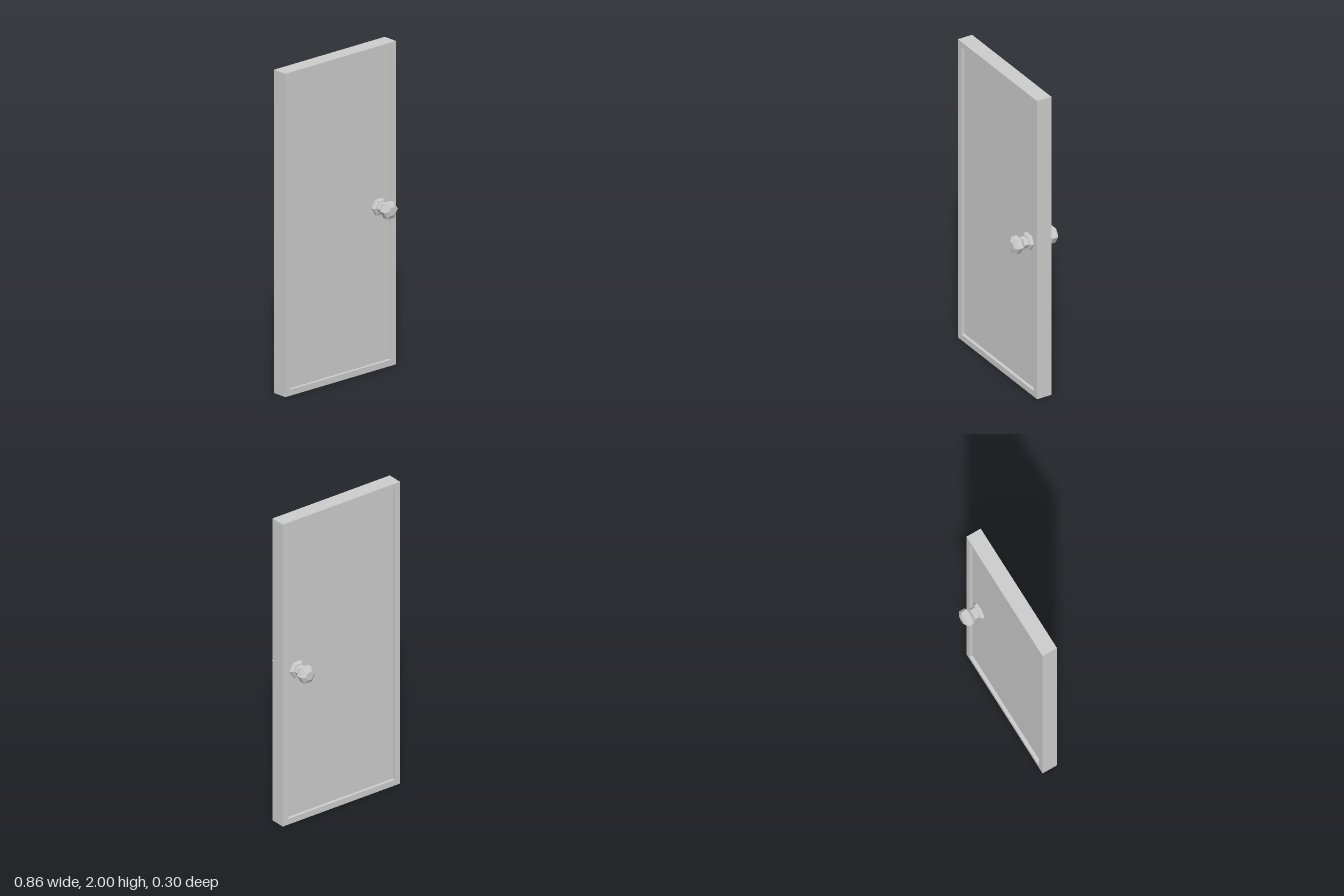
import * as THREE from 'three';

const W = 0.864, H = 2, DEPTH = 0.098, RIM = 0.038, RECESS = 0.02;

export function createModel() {
  const door = new THREE.Group();
  door.name = 'door';
  const material = new THREE.MeshStandardMaterial({ color: 0xcccccc, flatShading: true });

  const add = (name, geometry, parent = door) => {
    const mesh = new THREE.Mesh(geometry, material);
    mesh.name = name;
    parent.add(mesh);
    return mesh;
  };

  // Raised border running round both faces
  const rectangle = (Type, inset) => {
    const x = W / 2 - inset, y0 = inset, y1 = H - inset;
    return new Type([[-x, y0], [x, y0], [x, y1], [-x, y1]].map(p => new THREE.Vector2(...p)));
  };
  const outline = rectangle(THREE.Shape, 0);
  outline.holes.push(rectangle(THREE.Path, RIM));
  const frame = new THREE.ExtrudeGeometry(outline, { depth: DEPTH, bevelEnabled: false });
  add('frame', frame.translate(0, 0, -DEPTH / 2));

  // Sunken panel
  const panelHalf = DEPTH / 2 - RECESS;
  const panel = new THREE.BoxGeometry(W - 2 * RIM, H - 2 * RIM, 2 * panelHalf);
  add('panel', panel.translate(0, H / 2, 0));

  // Six-sided turned pieces: [radius, distance from door centre]
  const turned = points => new THREE.LatheGeometry(
    points.map(p => new THREE.Vector2(...p)), 6, Math.PI / 2).rotateX(Math.PI / 2);
  const rosette = turned([[0.055, panelHalf], [0.055, 0.042], [0.043, 0.051], [0, 0.051]]);
  const knob = turned([[0.036, 0.05], [0.036, 0.082], [0.055, 0.102],
    [0.055, 0.136], [0.029, 0.152], [0, 0.152]]);

  // A knob on each side
  for (const [side, turn] of [['front', 0], ['back', Math.PI]]) {
    const handle = new THREE.Group();
    handle.name = side + 'Handle';
    handle.position.set(0.314, H / 2, 0);
    handle.rotation.y = turn;
    add(side + 'Rosette', rosette, handle);
    add(side + 'Knob', knob, handle);
    door.add(handle);
  }
  return door;
}
